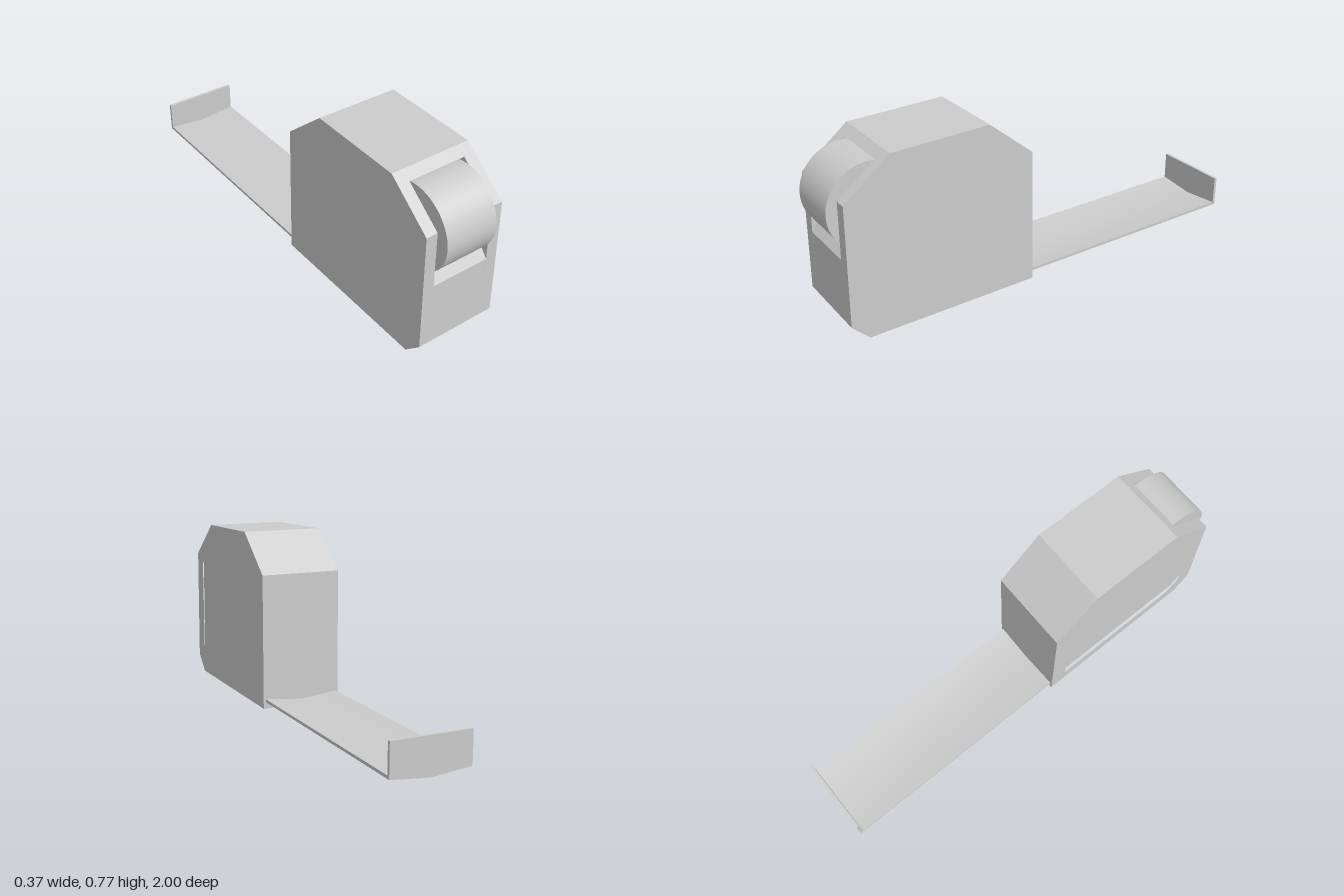
import * as THREE from 'three';
import { toCreasedNormals } from 'three/addons/utils/BufferGeometryUtils.js';

const material = new THREE.MeshStandardMaterial({ color: 0xcccccc });

// Side outlines as [z, y]
const lower = [[0.105, 0], [0.89, 0], [0.965, 0.075]];
const upper = [[0.956, 0.605], [0.75, 0.767], [0.31, 0.775], [0.105, 0.603]];
const notch = [[0.96, 0.355], [0.7, 0.695], [0.79, 0.735]];
const full = [...lower, ...upper];
const notched = [...lower, ...notch, ...upper.slice(1)];
const recess = [
  [0.185, 0.075], [0.825, 0.075], [0.885, 0.135], [0.885, 0.56],
  [0.715, 0.7], [0.35, 0.7], [0.185, 0.565],
];

const toPoints = (outline) => outline.map(([z, y]) => new THREE.Vector2(-z, y));

// Slab of a side outline running from x0 to x1
function slab(name, outline, x0, x1, hole) {
  const shape = new THREE.Shape(toPoints(outline));
  if (hole) shape.holes.push(new THREE.Path(toPoints(hole)));
  const geometry = new THREE.ExtrudeGeometry(shape, { depth: x1 - x0, bevelEnabled: false });
  geometry.rotateY(Math.PI / 2).translate(x0, 0, 0);
  const mesh = new THREE.Mesh(geometry, material);
  mesh.name = name;
  return mesh;
}

// Cross-section [x, y] extruded from z0 to z1, soft across shallow folds
function strip(name, section, z0, z1) {
  const shape = new THREE.Shape(section.map(([x, y]) => new THREE.Vector2(x, y)));
  const geometry = new THREE.ExtrudeGeometry(shape, { depth: z1 - z0, bevelEnabled: false });
  geometry.translate(0, 0, z0);
  const mesh = new THREE.Mesh(toCreasedNormals(geometry, Math.PI / 6), material);
  mesh.name = name;
  return mesh;
}

export function createModel() {
  const model = new THREE.Group();
  model.name = 'tapeMeasure';

  // Case: notched core, solid cheeks, and rims framing the recessed panels
  const slot = 0.133, panel = 0.155, side = 0.185;
  const body = new THREE.Group();
  body.name = 'case';
  body.add(
    slab('caseCore', notched, -slot, slot),
    slab('leftCheek', full, slot, panel),
    slab('rightCheek', full, -panel, -slot),
    slab('leftRim', full, panel, side, recess),
    slab('rightRim', full, -side, -panel, recess),
  );

  // Lock wheel sitting in the front notch
  const wheel = new THREE.Mesh(new THREE.CylinderGeometry(0.185, 0.185, 0.24, 64), material);
  wheel.name = 'lockWheel';
  wheel.rotation.z = Math.PI / 2;
  wheel.position.set(0, 0.543, 0.815);

  // Shallow V blade and upturned end hook
  const w = 0.175;
  const blade = strip('tapeBlade',
    [[-w, 0.03], [0, 0.012], [w, 0.03], [w, 0.043], [0, 0.025], [-w, 0.043]], -0.99, 0.108);
  const hook = strip('endHook',
    [[-w, 0.03], [0, 0.012], [w, 0.03], [w, 0.172], [-w, 0.172]], -1, -0.987);

  model.add(body, wheel, blade, hook);
  return model;
}
